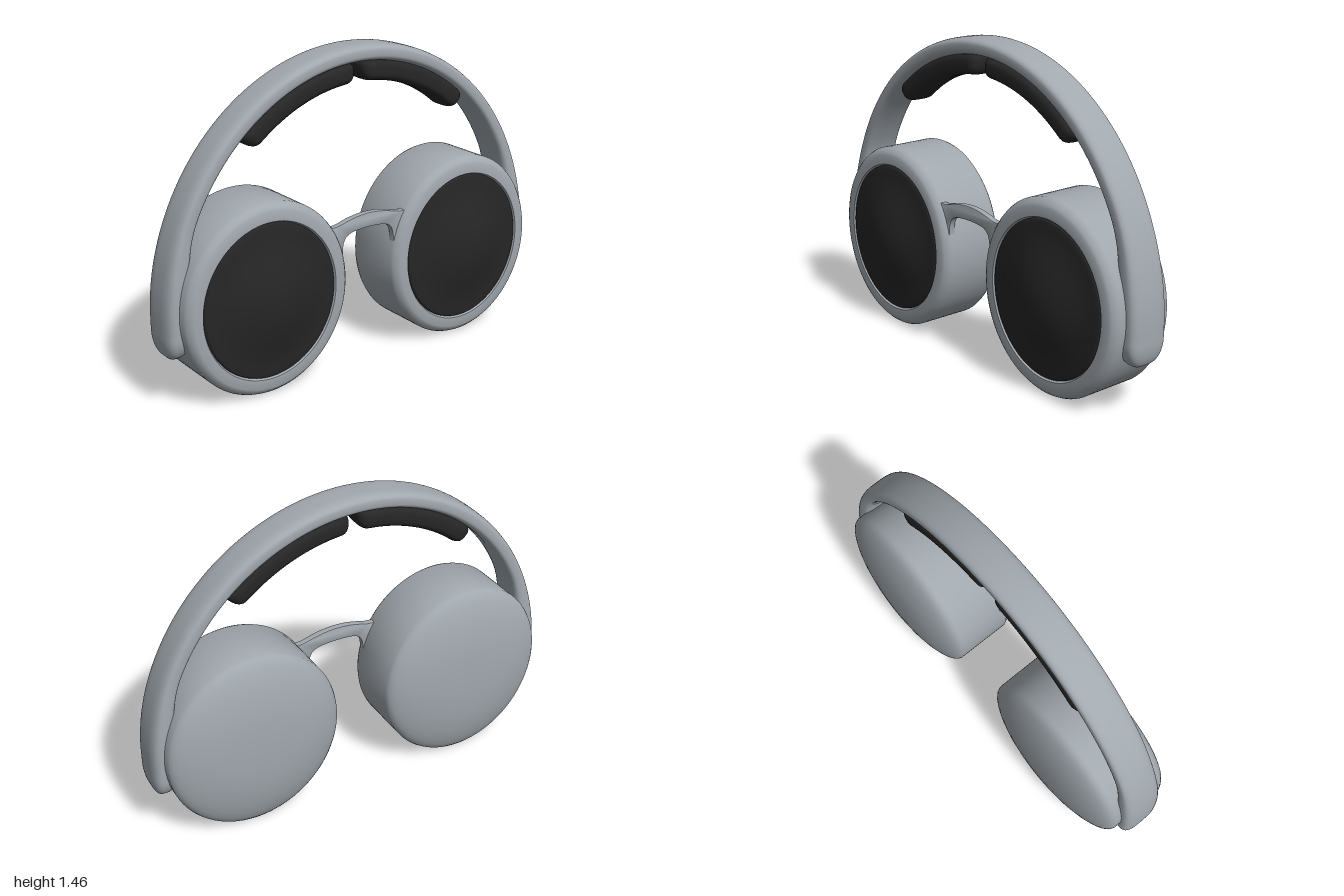
import * as THREE from 'three';
import { toCreasedNormals } from 'three/addons/utils/BufferGeometryUtils.js';

const shell = new THREE.MeshStandardMaterial({ color: 0xa1a8ae });
shell.name = 'silver grey';
const dark = new THREE.MeshStandardMaterial({ color: 0x262626 });
dark.name = 'soft black';

const CUP_X = 0.54, CUP_Y = 0.4375, ARC_Y = 0.4;

function part(name, geometry, material) {
  const mesh = new THREE.Mesh(geometry, material);
  mesh.name = name;
  return mesh;
}

// Sweeps a rounded-rectangle section through frames { x, y, nx, ny, t, w }
function loft(frames, ring = 40, power = 3.2) {
  const pos = [], index = [];
  const soft = (v) => Math.sign(v) * Math.abs(v) ** (2 / power);
  frames.forEach((f, i) => {
    for (let j = 0; j < ring; j++) {
      const a = (j / ring) * Math.PI * 2;
      const d = soft(Math.cos(a)) * f.t;
      pos.push(f.x + f.nx * d, f.y + f.ny * d, soft(Math.sin(a)) * f.w);
      if (i === frames.length - 1) continue;
      const k = (j + 1) % ring, p = i * ring, q = p + ring;
      index.push(p + j, q + j, p + k, q + j, q + k, p + k);
    }
  });
  const g = new THREE.BufferGeometry();
  g.setAttribute('position', new THREE.Float32BufferAttribute(pos, 3));
  g.setIndex(index);
  g.computeVertexNormals();
  return g;
}

// Point on an elliptical arch, moved inwards by `inset`
function archFrame(angle, inset, t, w) {
  const a = 1, b = 1.055;
  const n = new THREE.Vector2(Math.cos(angle) / a, Math.sin(angle) / b).normalize();
  return {
    x: a * Math.cos(angle) - n.x * inset,
    y: ARC_Y + b * Math.sin(angle) - n.y * inset,
    nx: n.x, ny: n.y, t, w,
  };
}

// Headband: rounded foot, short straight run, then the arch, mirrored
function headbandGeometry() {
  const half = [];
  for (let i = 0; i <= 12; i++) {
    const q = (i / 12) * Math.PI / 2, s = Math.sin(q) ** 0.7;
    half.push({ x: 0.945, y: 0.238 + 0.11 * (1 - Math.cos(q)), nx: 1, ny: 0, t: 0.055 * s, w: 0.1 * s });
  }
  for (let i = 0; i <= 50; i++) {
    const angle = (i / 50) * Math.PI / 2;
    const k = THREE.MathUtils.smoothstep(ARC_Y + Math.sin(angle), 0.5, 0.85);
    const t = 0.055 - 0.016 * k;
    half.push(archFrame(angle, t, t, 0.1 - 0.011 * k));
  }
  const other = half.slice(0, -1).reverse().map((f) => ({ ...f, x: -f.x, nx: -f.nx }));
  return loft([...half, ...other]);
}

// Cushion under the arch with rounded ends
function padGeometry(from, to) {
  const frames = [], steps = 40;
  for (let i = 0; i <= steps; i++) {
    const u = (1 - Math.cos((i / steps) * Math.PI)) / 2;
    const e = Math.min(1, Math.min(u, 1 - u) / 0.09);
    const s = (1 - (1 - e) ** 2.5) ** 0.4;
    const angle = THREE.MathUtils.degToRad(from + (to - from) * u);
    frames.push(archFrame(angle, 0.118 - 0.02 * (1 - s), 0.05 * s, 0.082 * (0.3 + 0.7 * s) * (e > 0 ? 1 : 0)));
  }
  return loft(frames);
}

// Lathe about the z axis, slightly narrower than tall
function turned(points, crease) {
  const g = new THREE.LatheGeometry(points.map(([r, z]) => new THREE.Vector2(r, z)), 96);
  g.rotateX(Math.PI / 2);
  g.scale(0.94, 1, 1);
  return crease ? toCreasedNormals(g, crease) : g;
}

function earCup(side) {
  const cup = new THREE.Group();
  cup.name = side > 0 ? 'leftEarCup' : 'rightEarCup';
  cup.position.set(side * CUP_X, CUP_Y, 0);
  cup.add(part('cupShell', turned([
    [0, -0.222], [0.1, -0.221], [0.18, -0.217], [0.25, -0.208], [0.31, -0.196], [0.36, -0.182],
    [0.395, -0.168], [0.415, -0.157], [0.43, -0.144], [0.4375, -0.128],
    [0.4375, 0.128], [0.43, 0.143], [0.416, 0.158], [0.402, 0.165], [0.358, 0.165], [0.35, 0.15],
  ], 0.6), shell));
  // Domed front cover
  const dome = [[0.352, 0.152], [0.35, 0.16], [0.342, 0.165]];
  for (let i = 1; i <= 12; i++) {
    const r = 0.342 * (1 - i / 12);
    dome.push([r, 0.165 + 0.056 * (0.5 + 0.5 * Math.cos(Math.PI * (r / 0.342) ** 1.1))]);
  }
  cup.add(part('frontCover', turned(dome), dark));
  return cup;
}

// Arched bridge joining the two cups
function bridgeGeometry() {
  const s = new THREE.Shape();
  s.moveTo(-0.26, 0.70);
  s.quadraticCurveTo(-0.2, 0.672, -0.14, 0.692);
  s.quadraticCurveTo(0, 0.735, 0.14, 0.692);
  s.quadraticCurveTo(0.2, 0.672, 0.26, 0.70);
  s.lineTo(0.26, 0.5);
  s.lineTo(0.14, 0.5);
  s.bezierCurveTo(0.145, 0.6, 0.14, 0.635, 0.07, 0.642);
  s.quadraticCurveTo(0, 0.65, -0.07, 0.642);
  s.bezierCurveTo(-0.14, 0.635, -0.145, 0.6, -0.14, 0.5);
  s.lineTo(-0.26, 0.5);
  s.closePath();
  const g = new THREE.ExtrudeGeometry(s, {
    depth: 0.022, bevelEnabled: true, bevelThickness: 0.005, bevelSize: 0.005,
    bevelOffset: -0.005, bevelSegments: 2, curveSegments: 16,
  });
  g.translate(0, 0, 0.107);
  return toCreasedNormals(g, 0.7);
}

export function createModel() {
  const model = new THREE.Group();
  model.name = 'headphones';
  model.add(part('headband', headbandGeometry(), shell));
  model.add(part('leftHeadPad', padGeometry(49, 88.6), dark));
  model.add(part('rightHeadPad', padGeometry(91.4, 131), dark));
  model.add(part('bridge', bridgeGeometry(), shell));
  for (const side of [1, -1]) model.add(earCup(side));
  return model;
}
